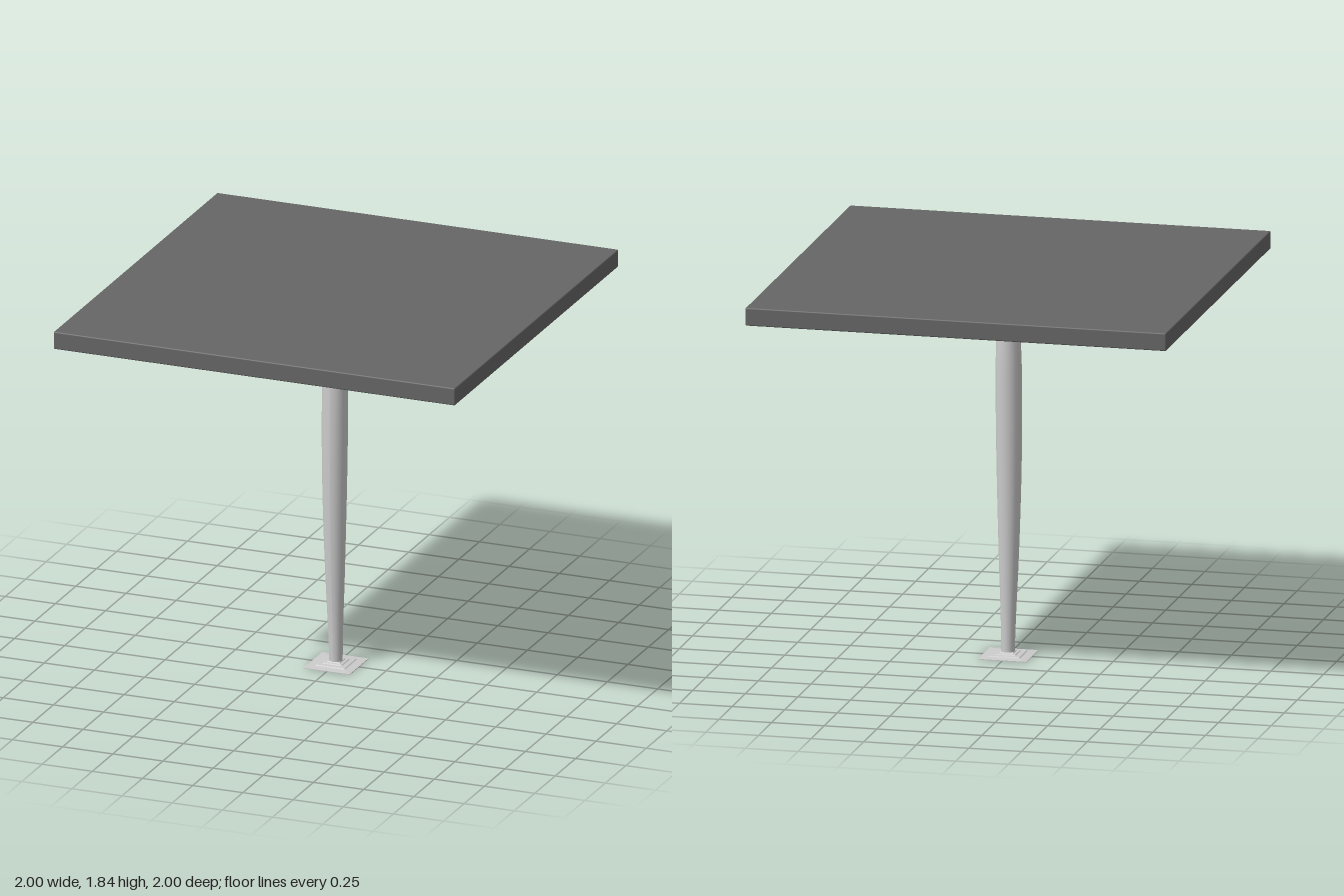
import * as THREE from 'three';
import { RoundedBoxGeometry } from 'three/addons/geometries/RoundedBoxGeometry.js';

const light = new THREE.MeshStandardMaterial({ color: 0xcccccc });
const facetedLight = new THREE.MeshStandardMaterial({ color: 0xcccccc, flatShading: true });
const dark = new THREE.MeshStandardMaterial({ color: 0x666666 });

const toPoints = (pairs) => pairs.map(([r, y]) => new THREE.Vector2(r, y));

function addPart(group, name, geometry, material) {
  const mesh = new THREE.Mesh(geometry, material);
  mesh.name = name;
  group.add(mesh);
  return mesh;
}

export function createModel() {
  const table = new THREE.Group();
  table.name = 'pedestalTable';

  // Square top with slightly softened edges
  const top = addPart(table, 'tableTop', new RoundedBoxGeometry(2, 0.085, 2, 2, 0.006), dark);
  top.position.y = 1.7925;

  // Turned column: slim foot, wide belly, tapered neck
  const columnProfile = new THREE.SplineCurve(toPoints([
    [0.031, 0.01], [0.036, 0.2], [0.044, 0.4], [0.052, 0.65], [0.058, 0.9],
    [0.061, 1.15], [0.06, 1.4], [0.05, 1.6], [0.041, 1.69], [0.031, 1.755],
  ]));
  const columnGeometry = new THREE.LatheGeometry(columnProfile.getPoints(36), 24);
  // The belly leans slightly off the vertical axis
  const p = columnGeometry.attributes.position;
  for (let i = 0; i < p.count; i++) {
    const lean = Math.sin(Math.PI * THREE.MathUtils.clamp(p.getY(i) / 1.76, 0, 1));
    p.setX(i, p.getX(i) - 0.003 * lean);
    p.setZ(i, p.getZ(i) + 0.009 * lean);
  }
  columnGeometry.computeVertexNormals();
  addPart(table, 'column', columnGeometry, light);

  // Thin square foot plate rising in steps (half widths scaled to the corners)
  const plateProfile = [
    [0, 0], [0.115, 0], [0.115, 0.003], [0.075, 0.006], [0.07, 0.01],
    [0.05, 0.011], [0.045, 0.015], [0.034, 0.016], [0.03, 0.02], [0, 0.02],
  ].map(([r, y]) => [r * Math.SQRT2, y]);
  const plate = new THREE.LatheGeometry(toPoints(plateProfile), 4, Math.PI / 4);
  addPart(table, 'footPlate', plate, facetedLight);

  return table;
}
